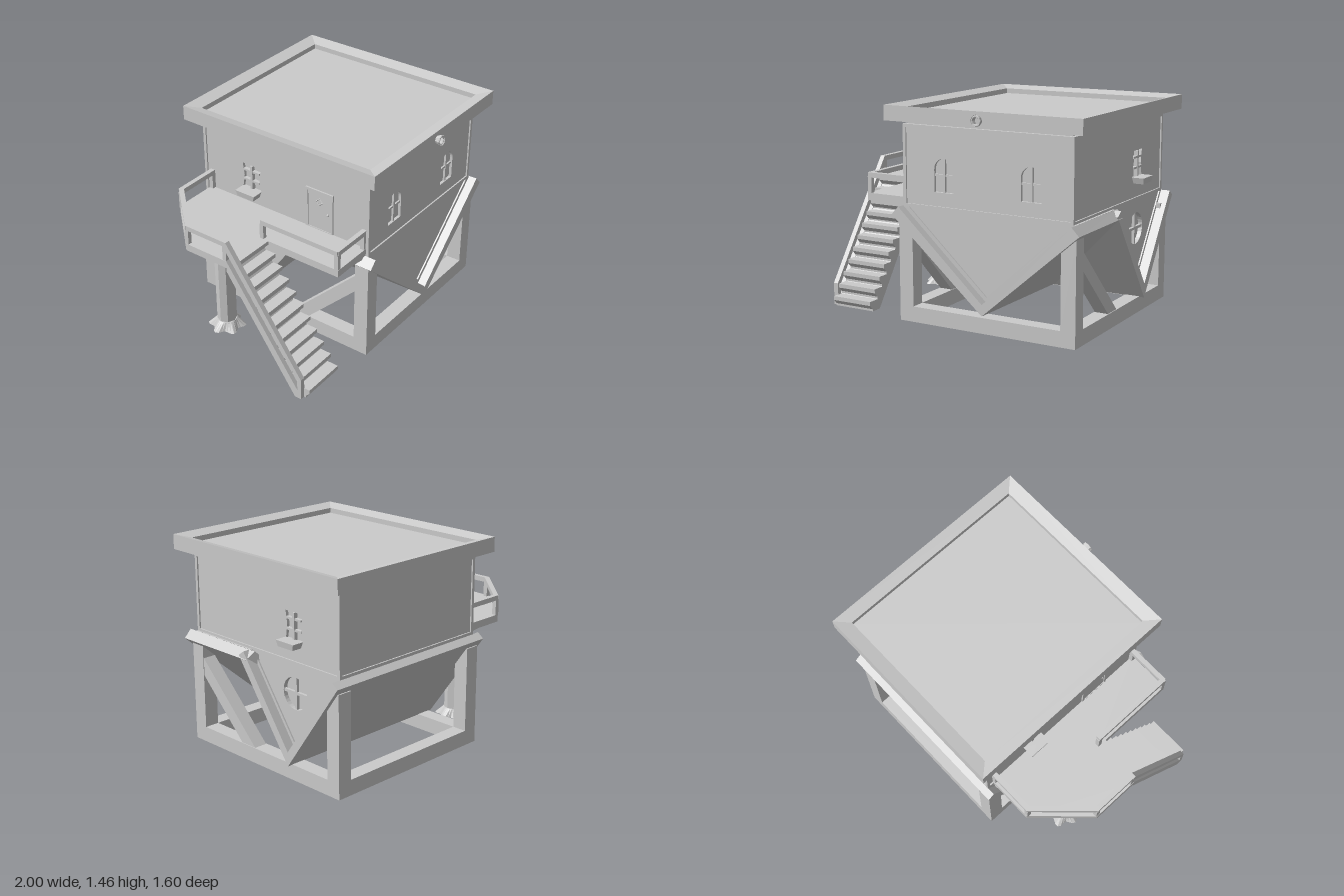
import * as THREE from 'three';

const mat = new THREE.MeshStandardMaterial({ color: 0xcccccc, flatShading: true });
const thinMat = mat.clone();
thinMat.side = THREE.DoubleSide;

function add(parent, name, geo, material = mat) {
  const m = new THREE.Mesh(geo, material);
  m.name = name;
  parent.add(m);
  return m;
}

// Box given by its limits on each axis
function box(parent, name, x0, x1, y0, y1, z0, z1) {
  const m = add(parent, name, new THREE.BoxGeometry(x1 - x0, y1 - y0, z1 - z0));
  m.position.set((x0 + x1) / 2, (y0 + y1) / 2, (z0 + z1) / 2);
  return m;
}

const toPoints = pts => pts.map(p => new THREE.Vector2(p[0], p[1]));

// Counter-clockwise outline in x,y pushed along z from z0 to z1
function slab(parent, name, pts, z0, z1, ...holes) {
  const shape = new THREE.Shape(toPoints(pts));
  for (const h of holes) shape.holes.push(new THREE.Path(toPoints(h)));
  const m = add(parent, name, new THREE.ExtrudeGeometry(shape, { depth: z1 - z0, bevelEnabled: false }));
  m.position.z = z0;
  return m;
}

// Outline in x,z pushed upwards
function plate(parent, name, pts, y0, y1, ...holes) {
  const flip = list => list.map(p => [p[0], -p[1]]).reverse();
  const m = slab(parent, name, flip(pts), 0, y1 - y0, ...holes.map(flip));
  m.rotation.x = -Math.PI / 2;
  m.position.set(0, y0, 0);
}

// Outline in z,y pushed along x
function profile(parent, name, pts, x0, x1) {
  const m = slab(parent, name, pts.map(p => [-p[0], p[1]]), 0, x1 - x0);
  m.rotation.y = Math.PI / 2;
  m.position.set(x0, 0, 0);
}

const rect = (x0, x1, y0, y1) => [[x0, y0], [x1, y0], [x1, y1], [x0, y1]];

// Points of an arc from angle 0 to a1
const arc = (r, cx, cy, a1, n) => Array.from({ length: n + 1 }, (_, i) =>
  [cx + Math.cos(a1 * i / n) * r, cy + Math.sin(a1 * i / n) * r]);

// Straight rail between two floor points
function rail(parent, name, a, b, y0, y1, w = 0.033) {
  const dx = b[0] - a[0], dz = b[1] - a[1];
  const m = add(parent, name, new THREE.BoxGeometry(Math.hypot(dx, dz) + w * 0.6, y1 - y0, w));
  m.position.set((a[0] + b[0]) / 2, (y0 + y1) / 2, (a[1] + b[1]) / 2);
  m.rotation.y = -Math.atan2(dz, dx);
}

// Group on a wall, its local +z pointing out of the wall
function mount(parent, name, x, y, z, turn) {
  const g = new THREE.Group();
  g.name = name;
  g.position.set(x, y, z);
  g.rotation.y = turn;
  parent.add(g);
  return g;
}

// V of roof panels
const vee = s => [[0, 0], [s.w, s.edge], [s.wi, s.top], [0, s.apexIn], [-s.wi, s.top], [-s.w, s.edge]];
// Triangle filling the V
const fill = s => [[0, s.apexIn - 0.01], [s.wi, s.top], [-s.wi, s.top]];
// Raised border along the inside of the V
function veeTrim(g, s, z0, z1) {
  const t = 0.035, k = s.wi * t / (s.top - s.apexIn);
  slab(g, 'gableTrim', [[0, s.apexIn], [s.wi, s.top], [s.wi - k, s.top], [0, s.apexIn + t], [k - s.wi, s.top], [-s.wi, s.top]], z0, z1);
}

export function createModel() {
  const root = new THREE.Group();
  root.name = 'upsideDownHouse';

  // Base frame, corner posts and side braces
  const X0 = -0.38, X1 = 0.93, Z0 = -0.73, Z1 = 0.69, T = 0.105;
  plate(root, 'baseFrame', rect(X0, X1, Z0, Z1), 0, 0.107, rect(X0 + T, X1 - T, Z0 + T, Z1 - T));
  for (const x of [X0, X1 - T]) {
    for (const z of [Z0, Z1 - T]) box(root, 'cornerPost', x, x + T, 0.107, 0.7, z, z + T);
    profile(root, 'diagonalBrace', [[0.59, 0.49], [0.59, 0.615], [0.07, 0.105], [0.2, 0.105]], x + 0.005, x + T - 0.005);
  }

  // Front gable: its roof runs back into the cross roof and dips slightly
  const front = { w: 0.69, edge: 0.6, wi: 0.637, top: 0.655, apexIn: 0.076 };
  const fg = mount(root, 'frontGable', 0.278, 0.13, 0, 0);
  const roof = slab(fg, 'frontGableRoof', vee(front), 0, 0.73).geometry;
  const pos = roof.attributes.position;
  for (let i = 0; i < pos.count; i++) {
    if (pos.getZ(i) > 0.1) continue;
    const k = Math.abs(pos.getX(i)) / front.w;
    pos.setZ(i, -0.29 + 0.38 * k);
    pos.setY(i, pos.getY(i) - 0.018 * (1 - k));
  }
  roof.computeVertexNormals();
  slab(fg, 'frontGableWall', fill(front), 0.1, 0.66);
  veeTrim(fg, front, 0.655, 0.67);

  // Cross gable with a recessed round window at each end
  const cross = { w: 0.459, edge: 0.645, wi: 0.412, top: 0.68, apexIn: 0.098 };
  const cg = mount(root, 'crossGable', 0, 0.103, -0.296, Math.PI / 2);
  slab(cg, 'crossGableRoof', vee(cross), -0.41, 0.965);
  slab(cg, 'crossGableCore', fill(cross), -0.315, 0.86);
  for (const [z0, z1, t0] of [[-0.345, -0.315, -0.355], [0.86, 0.89, 0.888]]) {
    slab(cg, 'crossGableWall', fill(cross), z0, z1, arc(0.11, 0, 0.479, Math.PI * 2 * 31 / 32, 31));
    veeTrim(cg, cross, t0, t0 + 0.012);
    box(cg, 'roundWindowBar', -0.009, 0.009, 0.37, 0.588, z0 + 0.005, z1 - 0.005);
    box(cg, 'roundWindowBar', -0.109, 0.109, 0.47, 0.488, z0 + 0.005, z1 - 0.005);
  }

  // Main body with raised wall borders
  const bx0 = -0.355, bx1 = 0.9, bz0 = -0.71, bz1 = 0.67;
  box(root, 'body', bx0 + 0.03, bx1 - 0.03, 0.785, 1.33, bz0 + 0.01, bz1 - 0.03);
  const b = 0.022;
  for (const [y0, y1] of [[0.78, 0.78 + b], [1.33 - b, 1.33]])
    plate(root, 'wallBorder', rect(bx0, bx1, bz0, bz1), y0, y1, rect(bx0 + b, bx1 - b, bz0 + b, bz1 - b));
  for (const x of [bx0, bx1 - b])
    for (const z of [bz0, bz1 - b]) box(root, 'cornerBorder', x, x + b, 0.78, 1.33, z, z + b);
  box(root, 'neck', -0.33, 0.875, 1.33, 1.36, -0.685, 0.645);

  // Front wall with two recessed arched windows
  const archX = [-0.045, 0.598], r = 0.073;
  const arches = archX.map(x => [[x - r, 0.895], [x + r, 0.895], ...arc(r, x, 1.046, Math.PI, 14)]);
  slab(root, 'frontWall', rect(bx0 + 0.01, bx1 - 0.01, 0.785, 1.33), bz1 - 0.03, bz1 - 0.01, ...arches);
  for (const x of archX) {
    box(root, 'archedWindowBar', x - 0.007, x + 0.007, 0.895, 1.118, 0.635, 0.655);
    box(root, 'archedWindowBar', x - r, x + r, 1.0, 1.014, 0.635, 0.652);
  }

  // Side walls with a recessed flared window and a planter
  const flared = [[-0.078, 0.94], [0.078, 0.94], [0.064, 1.03], [0.078, 1.122], [-0.078, 1.122], [-0.064, 1.03]];
  for (const s of [1, -1]) {
    const g = mount(root, 'sideWall', s > 0 ? bx1 - 0.01 : bx0 + 0.01, 0, -0.296, s * Math.PI / 2);
    const span = s > 0 ? [-0.956, 0.404] : [-0.404, 0.956];
    slab(g, 'sideWallPanel', rect(...span, 0.785, 1.33), -0.02, 0, flared);
    box(g, 'windowBar', -0.009, 0.009, 0.94, 1.12, -0.022, 0.008);
    for (const y of [1.005, 1.077]) box(g, 'windowBar', -0.068, 0.068, y - 0.007, y + 0.007, -0.022, 0.006);
    const p = add(g, 'planter', new THREE.CylinderGeometry(0.5, 0.42, 0.042, 4).rotateY(Math.PI / 4));
    p.scale.set(0.16 * Math.SQRT2, 1, 0.085 * Math.SQRT2);
    p.position.set(0, 0.924, 0.043);
  }

  // Flat roof with a mitred rim that slopes inwards
  const rimProfile = toPoints([[0.884, 1.355], [1, 1.355], [1, 1.457], [0.884, 1.435], [0.884, 1.355]]);
  rimProfile.forEach(p => { p.x *= Math.SQRT2; });
  const rim = add(root, 'roofRim', new THREE.LatheGeometry(rimProfile, 4, Math.PI / 4));
  rim.scale.set(0.72, 1, 0.78);
  rim.position.set(0.28, 0, -0.02);
  box(root, 'roofDeck', -0.36, 0.92, 1.355, 1.4, -0.712, 0.672);

  // Drain spout
  const spout = mount(root, 'drainSpout', 0.278, 1.4, 0.755, 0);
  const pipe = add(spout, 'spoutPipe', new THREE.CylinderGeometry(0.037, 0.025, 0.045, 8, 1, true), thinMat);
  pipe.rotation.x = Math.PI / 2 - 0.15;
  pipe.position.z = 0.02;
  add(spout, 'spoutRing', new THREE.TorusGeometry(0.031, 0.007, 6, 8)).position.z = 0.035;

  // Door onto the balcony
  const door = mount(root, 'door', -0.345, 0.835, 0.275, -Math.PI / 2);
  slab(door, 'doorFrame', rect(-0.11, 0.11, 0, 0.3), 0, 0.011, rect(-0.092, 0.092, 0.008, 0.282));
  box(door, 'doorLeaf', -0.095, 0.095, 0, 0.285, 0, 0.005);
  add(door, 'doorPane', new THREE.TorusGeometry(0.025, 0.005, 4, 4)).position.set(0, 0.215, 0.006);
  add(door, 'doorKnob', new THREE.SphereGeometry(0.009, 8, 6)).position.set(0.07, 0.14, 0.008);

  // Balcony floor with sloping underside near the wall
  plate(root, 'balconyFloor', [[-0.35, -0.66], [-0.35, 0.65], [-0.66, 0.65], [-0.66, 0.02], [-1, 0.02], [-1, -0.32], [-0.68, -0.66]].reverse(), 0.787, 0.838);
  slab(root, 'balconyUnderside', [[-0.6, 0.79], [-0.35, 0.757], [-0.35, 0.79]], -0.64, 0.64);

  // Balcony railings
  const paths = [
    [[-0.36, -0.643], [-0.673, -0.643], [-0.983, -0.313], [-0.983, 0.005]],
    [[-0.645, 0.035], [-0.645, 0.633], [-0.36, 0.633]]];
  for (const path of paths)
    path.forEach((p, i) => {
      if (i) rail(root, 'topRail', path[i - 1], p, 0.943, 0.977);
      box(root, 'railPost', p[0] - 0.015, p[0] + 0.015, 0.83, 0.95, p[1] - 0.015, p[1] + 0.015);
    });

  // Staircase with undercut treads
  profile(root, 'stairSlab', [[0.02, 0.83], [0.02, 0.73], [0.54, 0], [0.61, 0], [0.61, 0.015]], -0.965, -0.66);
  for (let i = 0; i < 11; i++) {
    const y = 0.838 - 0.0765 * i, z = 0.09 + 0.0565 * i;
    profile(root, 'stairTread', [[z, y], [z - 0.085, y], [z - 0.085, y - 0.073], [z - 0.03, y - 0.073], [z - 0.03, y - 0.058], [z, y - 0.028]], -0.968, -0.658);
  }
  profile(root, 'stairStringer', [[0.02, 0.84], [0.02, 0.76], [0.56, 0], [0.61, 0], [0.61, 0.02]], -1, -0.965);
  profile(root, 'stairHandrail', [[0, 0.977], [0, 0.935], [0.61, 0.105], [0.61, 0.155], [0.02, 0.977]], -1, -0.965);
  box(root, 'handrailPost', -1, -0.965, 0, 0.14, 0.58, 0.61);

  // Support column on a flared, six-lobed foot
  const column = mount(root, 'supportColumn', -0.67, 0, -0.29, 0);
  add(column, 'columnShaft', new THREE.CylinderGeometry(0.068, 0.068, 0.76, 8)).position.y = 0.41;
  const foot = new THREE.CylinderGeometry(0.07, 0.115, 0.058, 36);
  const fp = foot.attributes.position;
  for (let i = 0; i < fp.count; i++) {
    const k = fp.getY(i) < 0 ? 1 + 0.17 * Math.cos(6 * Math.atan2(fp.getZ(i), fp.getX(i))) : 1;
    fp.setX(i, fp.getX(i) * k);
    fp.setZ(i, fp.getZ(i) * k);
  }
  foot.computeVertexNormals();
  add(column, 'columnFoot', foot).position.y = 0.029;

  return root;
}
